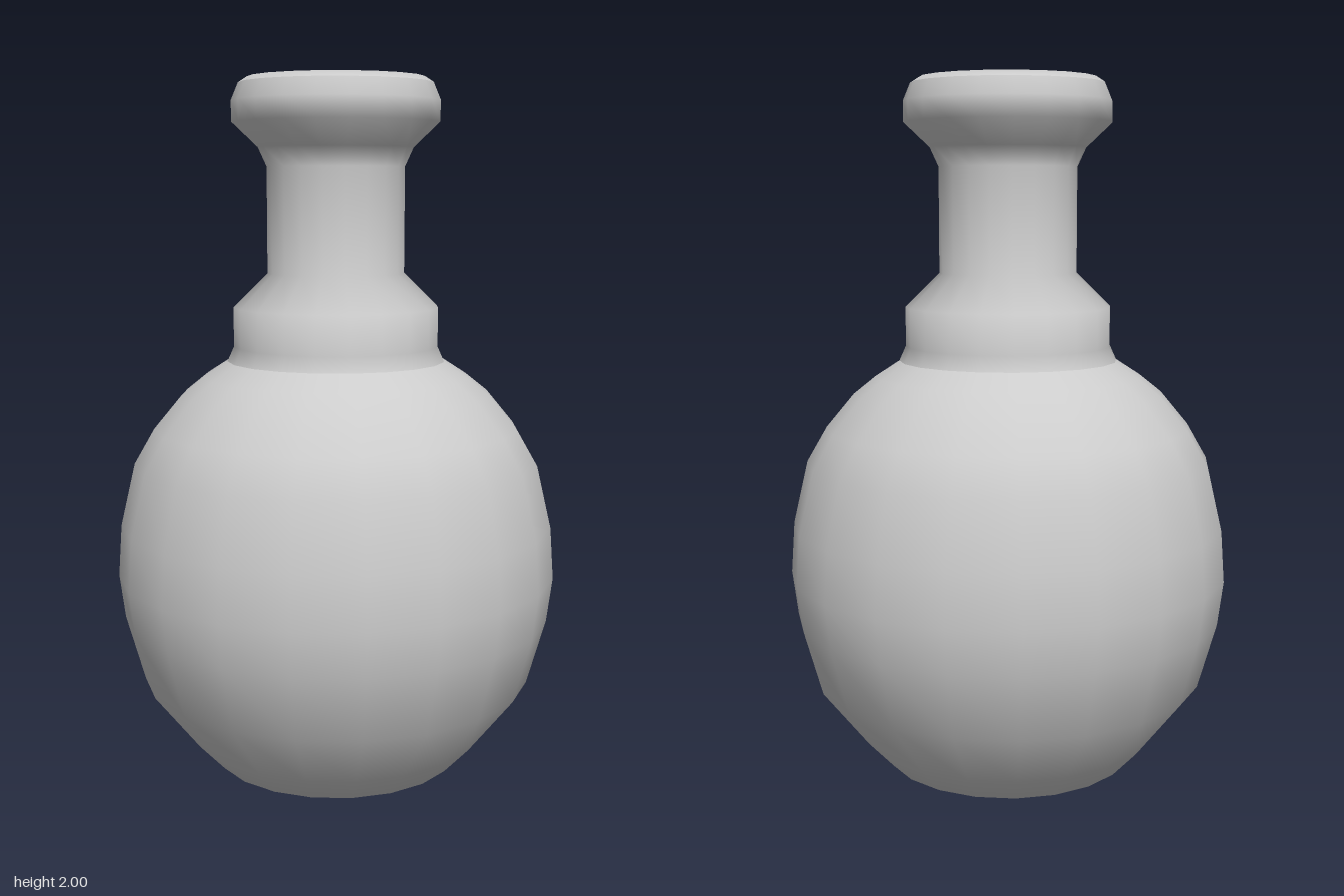
import * as THREE from 'three';

const SIDES = 20;
const material = new THREE.MeshStandardMaterial({ color: 0xcccccc, side: THREE.DoubleSide });

// Turn a profile of [radius, height] pairs into a smooth round part
function turned(name, profile) {
  const points = profile.map(([r, y]) => new THREE.Vector2(r, y));
  const mesh = new THREE.Mesh(new THREE.LatheGeometry(points, SIDES), material);
  mesh.name = name;
  return mesh;
}

export function createModel() {
  const flask = new THREE.Group();
  flask.name = 'flask';

  // Round belly with a small pointed base
  flask.add(turned('body', [
    [0, 0], [0.09, 0.048], [0.19, 0.073], [0.26, 0.108], [0.34, 0.135],
    [0.41, 0.21], [0.535, 0.37], [0.585, 0.55], [0.6, 0.67], [0.59, 0.81],
    [0.55, 0.98], [0.495, 1.075], [0.42, 1.165], [0.36, 1.213], [0.295, 1.255],
  ]));

  // Collar, straight neck and flared mouth
  flask.add(turned('neck', [
    [0.295, 1.255], [0.277, 1.295], [0.277, 1.4], [0.185, 1.49], [0.185, 1.77],
    [0.208, 1.82], [0.277, 1.885], [0.277, 1.94], [0.258, 1.985],
  ]));

  // Rounded rim and the dished hollow inside the mouth
  flask.add(turned('rim', [
    [0.258, 1.985], [0.235, 2], [0.215, 1.99], [0.17, 1.91], [0.1, 1.86], [0, 1.84],
  ]));

  return flask;
}
